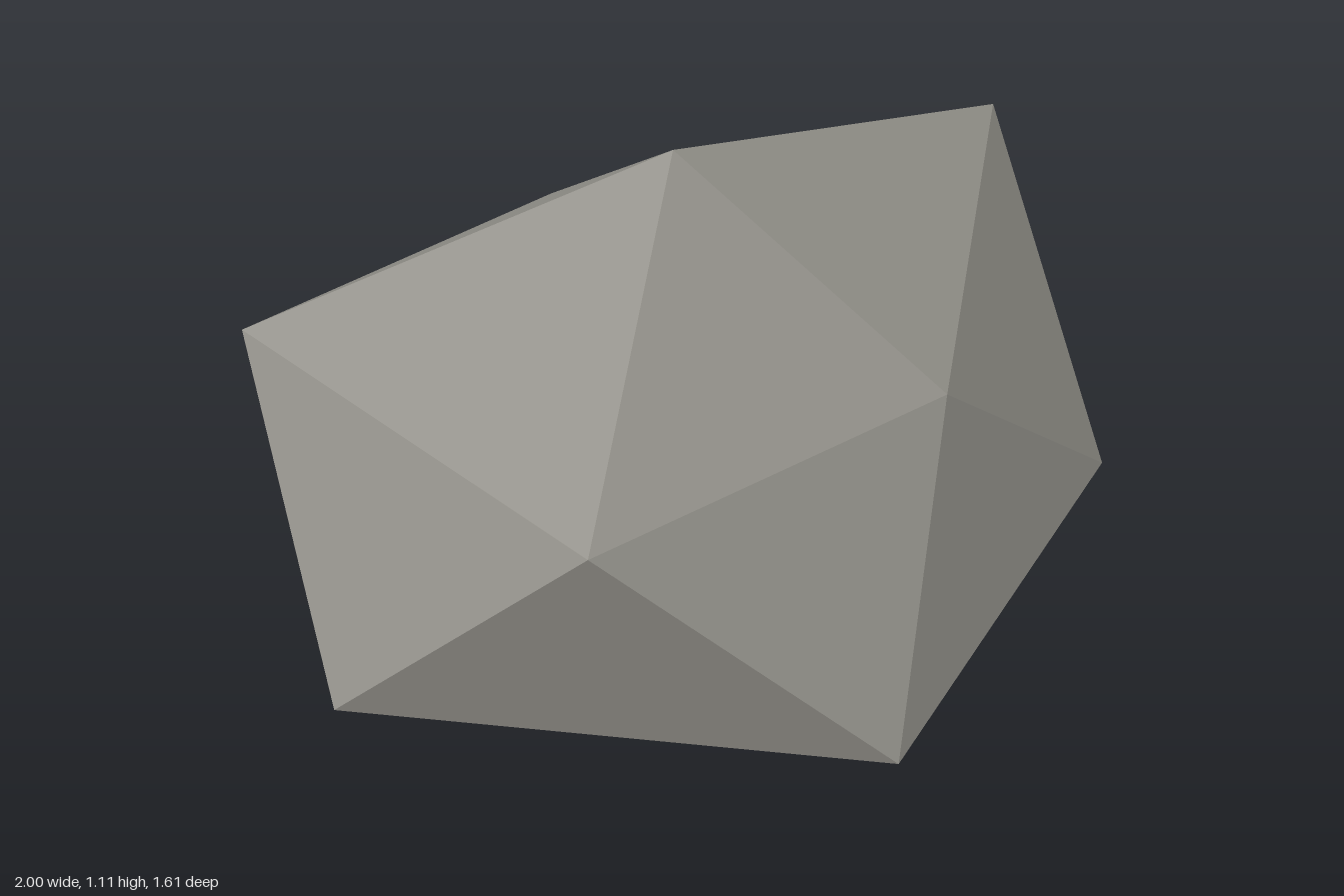
import * as THREE from 'three';

export function createModel() {
  const stone = new THREE.MeshStandardMaterial({ color: 0x96948d, flatShading: true });
  stone.name = 'warm grey stone';

  // Peak, base point and two staggered five-point rings, running from +x towards +z
  const top = [-0.04, 1.105, -0.105];
  const bottom = [-0.04, 0, -0.105];
  const upper = [
    [1.0, 0.82, -0.105], [0.15, 0.695, 0.48], [-0.815, 0.795, 0.455],
    [-0.76, 0.772, -0.63], [0.15, 0.695, -0.695],
  ];
  const lower = [
    [0.745, 0.215, 0.465], [-0.34, 0.222, 0.80], [-1.0, 0.222, -0.105],
    [-0.265, 0.285, -0.805], [0.805, 0.195, -0.72],
  ];

  // Cap, zigzag side band and underside
  const corners = [];
  for (let i = 0; i < 5; i++) {
    const j = (i + 1) % 5;
    corners.push(top, upper[j], upper[i]);
    corners.push(upper[i], upper[j], lower[i]);
    corners.push(lower[i], upper[j], lower[j]);
    corners.push(bottom, lower[i], lower[j]);
  }
  const geometry = new THREE.BufferGeometry();
  geometry.setAttribute('position', new THREE.Float32BufferAttribute(corners.flat(), 3));
  geometry.computeVertexNormals();

  const rock = new THREE.Mesh(geometry, stone);
  rock.name = 'rock';
  const group = new THREE.Group();
  group.name = 'boulder';
  group.add(rock);
  return group;
}
